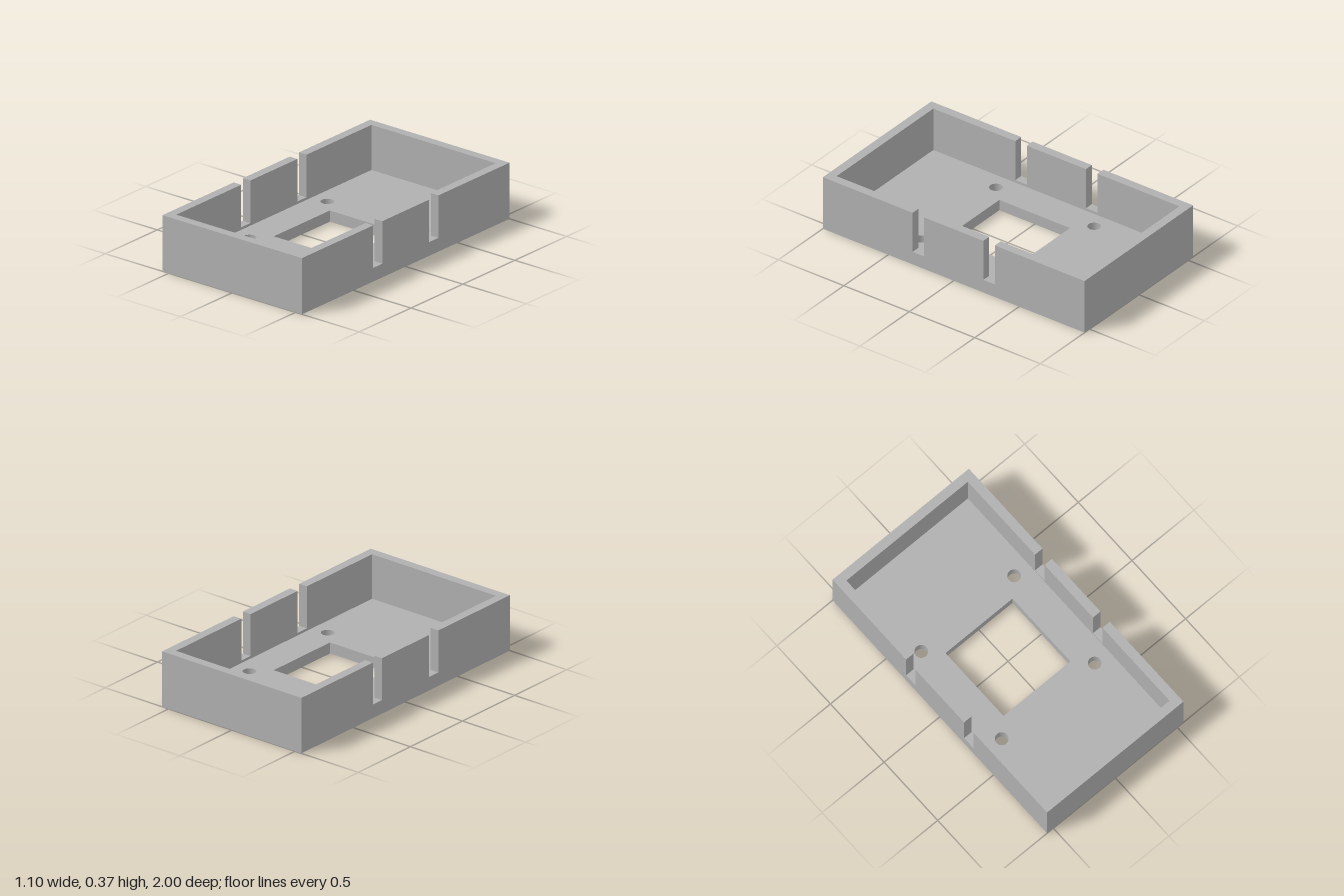
import * as THREE from 'three';

const HALF_W = 0.55, HALF_L = 1, HEIGHT = 0.37;
const WALL = 0.06, FLOOR = 0.073;
const SLOT_IN = 0.226, SLOT_OUT = 0.314, SLOT_BASE = 0.09;
const HOLE = 0.375, HOLE_R = 0.042, WINDOW = 0.27;

const toPoints = (pairs) => pairs.map(([x, y]) => new THREE.Vector2(x, y));

export function createModel() {
  const group = new THREE.Group();
  const grey = new THREE.MeshStandardMaterial({ color: 0xb0b0b0 });
  grey.name = 'grey';

  const add = (name, geometry, x = 0, y = 0, z = 0) => {
    const mesh = new THREE.Mesh(geometry, grey);
    mesh.name = name;
    mesh.position.set(x, y, z);
    group.add(mesh);
  };

  // Floor plate with a square window and four screw holes
  const w = HALF_W - WALL, l = HALF_L - WALL;
  const plate = new THREE.Shape(toPoints([[-w, -l], [w, -l], [w, l], [-w, l]]));
  plate.holes.push(new THREE.Path(toPoints([
    [-WINDOW, -WINDOW], [-WINDOW, WINDOW], [WINDOW, WINDOW], [WINDOW, -WINDOW],
  ])));
  for (const sx of [-1, 1]) {
    for (const sz of [-1, 1]) {
      plate.holes.push(new THREE.Path().absarc(sx * HOLE, sz * HOLE, HOLE_R, 0, Math.PI * 2, true));
    }
  }
  const floor = new THREE.ExtrudeGeometry(plate, { depth: FLOOR, bevelEnabled: false, curveSegments: 32 });
  floor.rotateX(-Math.PI / 2);
  add('floor', floor);

  // Long side walls, each with two slots open at the top
  const outline = new THREE.Shape(toPoints([
    [-HALF_L, 0], [HALF_L, 0], [HALF_L, HEIGHT],
    [SLOT_OUT, HEIGHT], [SLOT_OUT, SLOT_BASE], [SLOT_IN, SLOT_BASE], [SLOT_IN, HEIGHT],
    [-SLOT_IN, HEIGHT], [-SLOT_IN, SLOT_BASE], [-SLOT_OUT, SLOT_BASE], [-SLOT_OUT, HEIGHT],
    [-HALF_L, HEIGHT],
  ]));
  const side = new THREE.ExtrudeGeometry(outline, { depth: WALL, bevelEnabled: false });
  side.translate(0, 0, -WALL / 2);
  side.rotateY(Math.PI / 2);
  add('leftWall', side, HALF_W - WALL / 2);
  add('rightWall', side, -HALF_W + WALL / 2);

  // Short end walls between the side walls
  const end = new THREE.BoxGeometry(2 * w, HEIGHT, WALL);
  add('frontWall', end, 0, HEIGHT / 2, HALF_L - WALL / 2);
  add('backWall', end, 0, HEIGHT / 2, -HALF_L + WALL / 2);

  return group;
}
